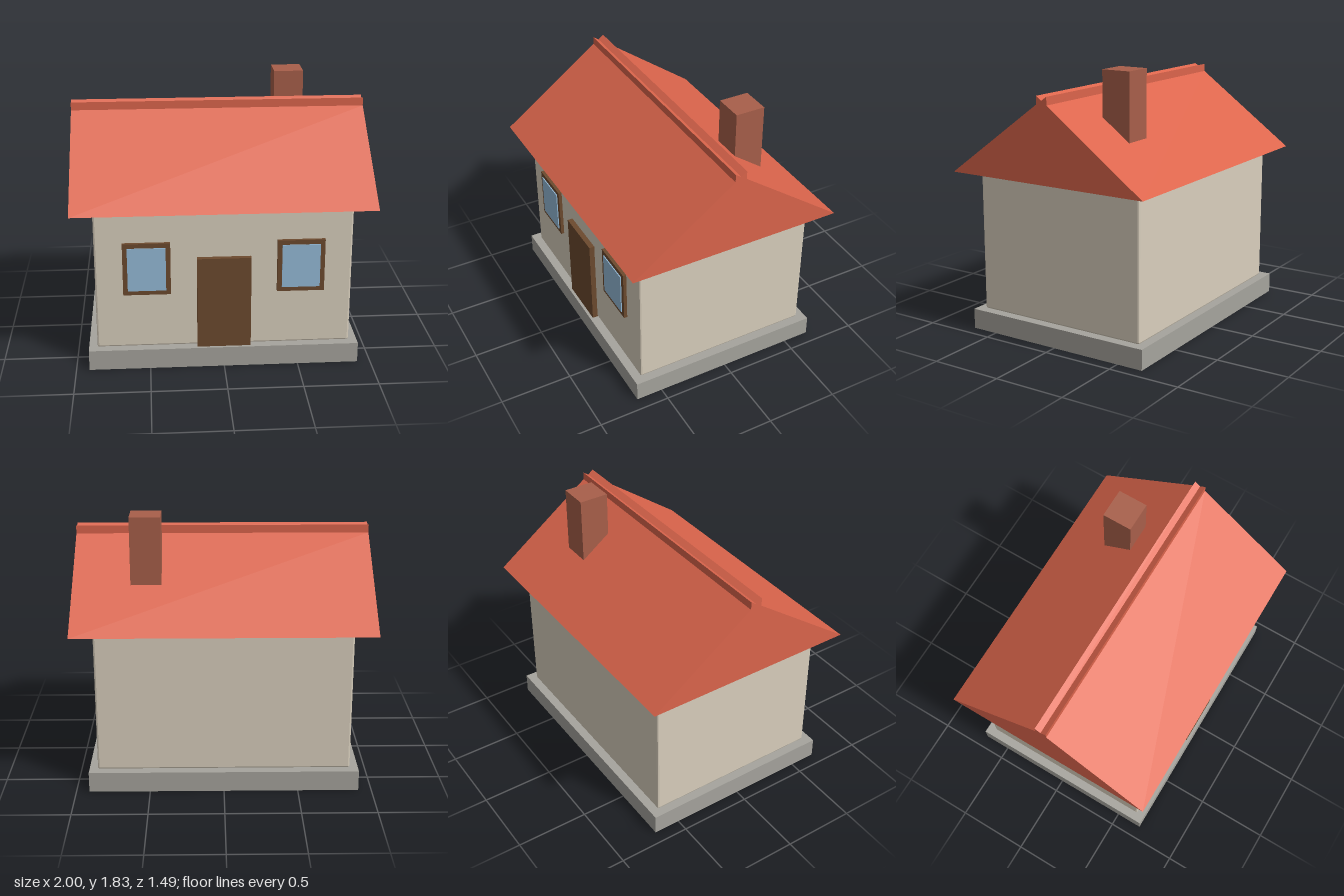
import * as THREE from 'three';
import { RoundedBoxGeometry } from 'three/addons/geometries/RoundedBoxGeometry.js';

const paint = (name, color) => {
  const m = new THREE.MeshStandardMaterial({ color });
  m.name = name;
  return m;
};

export function createModel() {
  const house = new THREE.Group();
  house.name = 'house';

  const stone = paint('grey stone', 0xa6a49d);
  const plaster = paint('cream plaster', 0xd9cfbd);
  const tile = paint('red tile', 0xdc654c);
  const brick = paint('brown brick', 0xa85f4a);
  const wood = paint('dark wood', 0x6d4a2e);
  const glass = paint('blue glass', 0x95bbd8);

  const add = (parent, name, geometry, material) => {
    const mesh = new THREE.Mesh(geometry, material);
    mesh.name = name;
    parent.add(mesh);
    return mesh;
  };
  // Box given by its min and max corners
  const box = (parent, name, material, [x0, y0, z0], [x1, y1, z1]) => {
    const mesh = add(parent, name, new THREE.BoxGeometry(x1 - x0, y1 - y0, z1 - z0), material);
    mesh.position.set((x0 + x1) / 2, (y0 + y1) / 2, (z0 + z1) / 2);
    return mesh;
  };

  box(house, 'foundation', stone, [-0.912, 0, -0.686], [0.912, 0.14, 0.686]);

  // Walls with a small faceted bevel
  const wallGeometry = new RoundedBoxGeometry(1.71, 0.99, 1.258, 1, 0.012);
  wallGeometry.computeVertexNormals();
  add(house, 'walls', wallGeometry, plaster).position.y = 0.14 + 0.99 / 2;

  // Solid gable roof, topped by a ridge with a V groove
  const profile = new THREE.Shape([
    [-0.745, 1.122], [0.745, 1.122], [0.04, 1.635], [0.04, 1.69],
    [0, 1.662], [-0.04, 1.69], [-0.04, 1.635],
  ].map(([z, y]) => new THREE.Vector2(z, y)));
  const roofGeometry = new THREE.ExtrudeGeometry(profile, { depth: 2, bevelEnabled: false });
  roofGeometry.translate(0, 0, -1).rotateY(Math.PI / 2);
  add(house, 'roof', roofGeometry, tile);

  box(house, 'chimney', brick, [0.41, 1.2, -0.4], [0.615, 1.83, -0.195]);
  box(house, 'door', wood, [-0.18, 0.14, 0.6], [0.18, 0.782, 0.666]);

  // Mirrored pair of windows
  for (const side of [-1, 1]) {
    const win = new THREE.Group();
    win.name = side > 0 ? 'leftWindow' : 'rightWindow';
    win.position.set(side * 0.512, 0.712, 0);
    box(win, 'windowFrame', wood, [-0.158, -0.182, 0.61], [0.158, 0.182, 0.652]);
    box(win, 'windowPane', glass, [-0.127, -0.151, 0.651], [0.127, 0.151, 0.659]);
    house.add(win);
  }

  return house;
}
